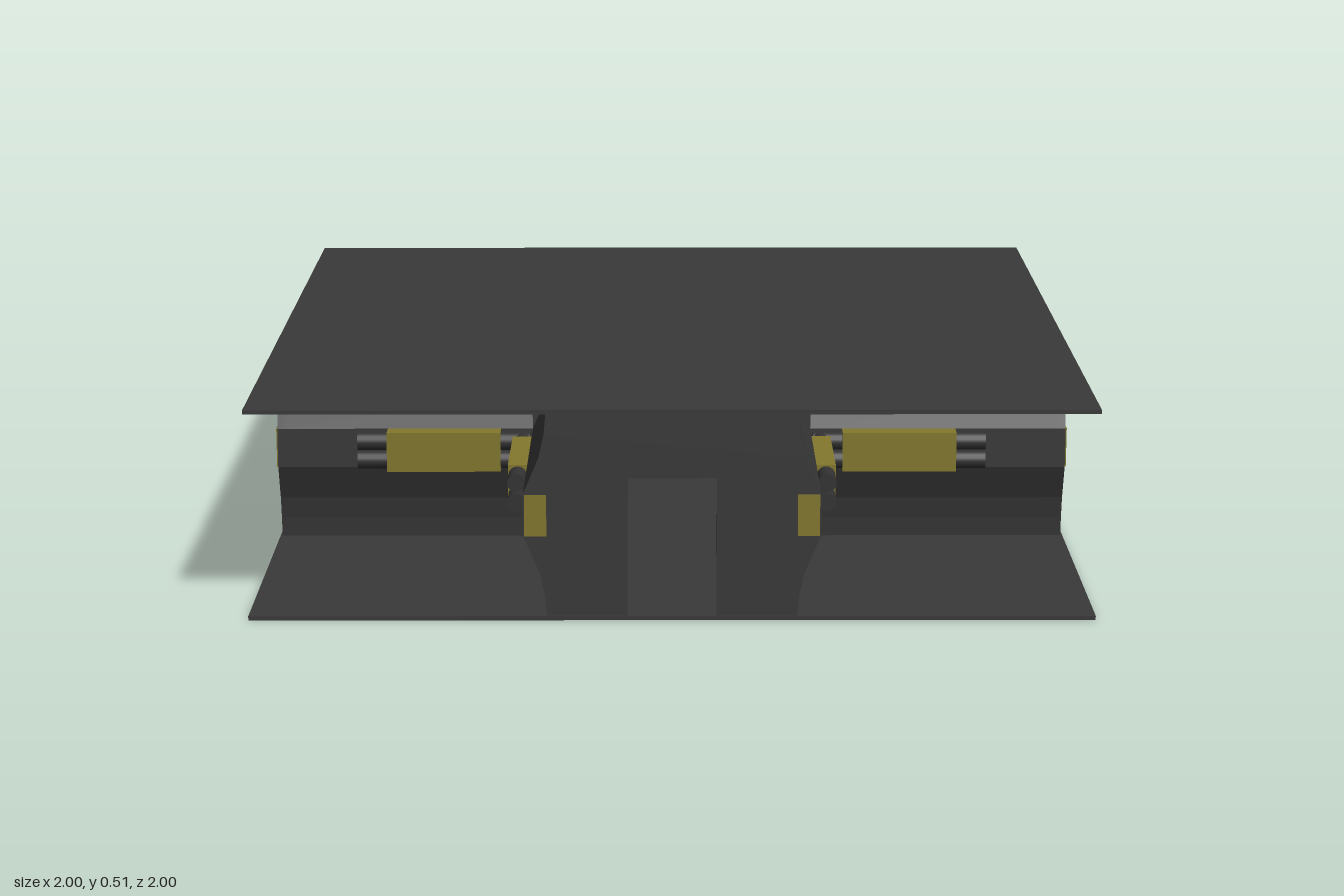
import * as THREE from 'three';

const mat = (name, color) => {
  const m = new THREE.MeshStandardMaterial({ color });
  m.name = name;
  return m;
};

// right-hand wall outline, bulging at mid height: [x, y]
const PROFILE = [
  [0.295, 0.01], [0.3, 0.06], [0.312, 0.115], [0.35, 0.205],
  [0.35, 0.305], [0.312, 0.395], [0.3, 0.45], [0.295, 0.5],
];

export function createModel() {
  const grey = mat('charcoal panel', 0x393939);
  const pipeGrey = mat('dark pipe', 0x333333);
  const yellow = mat('dull yellow', 0x83782e);
  const model = new THREE.Group();
  model.name = 'corridorCrossing';

  const add = (parent, name, geometry, material, x = 0, y = 0, z = 0) => {
    const mesh = new THREE.Mesh(geometry, material);
    mesh.name = name;
    mesh.position.set(x, y, z);
    parent.add(mesh);
    return mesh;
  };
  const box = (w, h, d) => new THREE.BoxGeometry(w, h, d);
  const extrude = (shape, depth) =>
    new THREE.ExtrudeGeometry(shape, { depth, bevelEnabled: false });
  const shapeOf = (points) =>
    new THREE.Shape(points.map(([x, y]) => new THREE.Vector2(x, y)));

  // floor and ceiling slabs
  add(model, 'floor', box(2, 0.01, 2), grey, 0, 0.005, 0);
  add(model, 'ceiling', box(2, 0.01, 2), grey, 0, 0.505, 0);

  // end wall outline with a doorway
  const mirrored = PROFILE.map(([x, y]) => [-x, y]).reverse();
  const endShape = shapeOf([...PROFILE, ...mirrored]);
  endShape.holes.push(shapeOf([
    [-0.105, 0.0101], [-0.105, 0.345], [0.105, 0.345], [0.105, 0.0101],
  ]));
  const endGeometry = extrude(endShape, 0.02);
  const inner = PROFILE.map(([x, y]) => [x - 0.012, y]).reverse();
  const pipeGeometry = new THREE.CylinderGeometry(0.0225, 0.0225, 0.434, 16);
  pipeGeometry.rotateX(Math.PI / 2);

  // four equal arms around the centre
  for (let i = 0; i < 4; i++) {
    const arm = new THREE.Group();
    arm.name = 'corridorArm';
    arm.rotation.y = i * Math.PI / 2;
    model.add(arm);

    add(arm, 'doorwayWall', endGeometry, grey, 0, 0, 0.975);
    // corner post where two arms meet
    add(arm, 'cornerPost', box(0.057, 0.49, 0.057), grey, 0.3215, 0.255, 0.3215);

    for (const s of [-1, 1]) {
      const wall = shapeOf([...PROFILE, ...inner].map(([x, y]) => [s * x, y]));
      add(arm, 'sideWall', extrude(wall, 0.635), grey, 0, 0, 0.345);
      // yellow corner marker on the end wall
      add(arm, 'cornerMarker', box(0.052, 0.1, 0.004), yellow, s * 0.321, 0.255, 0.996);
      // pair of pipes held by a yellow clamp
      for (const y of [0.231, 0.279]) {
        add(arm, 'pipe', pipeGeometry, pipeGrey, s * 0.3735, y, 0.573);
      }
      add(arm, 'pipeClamp', box(0.061, 0.1, 0.286), yellow, s * 0.3665, 0.255, 0.573);
    }
  }
  return model;
}
